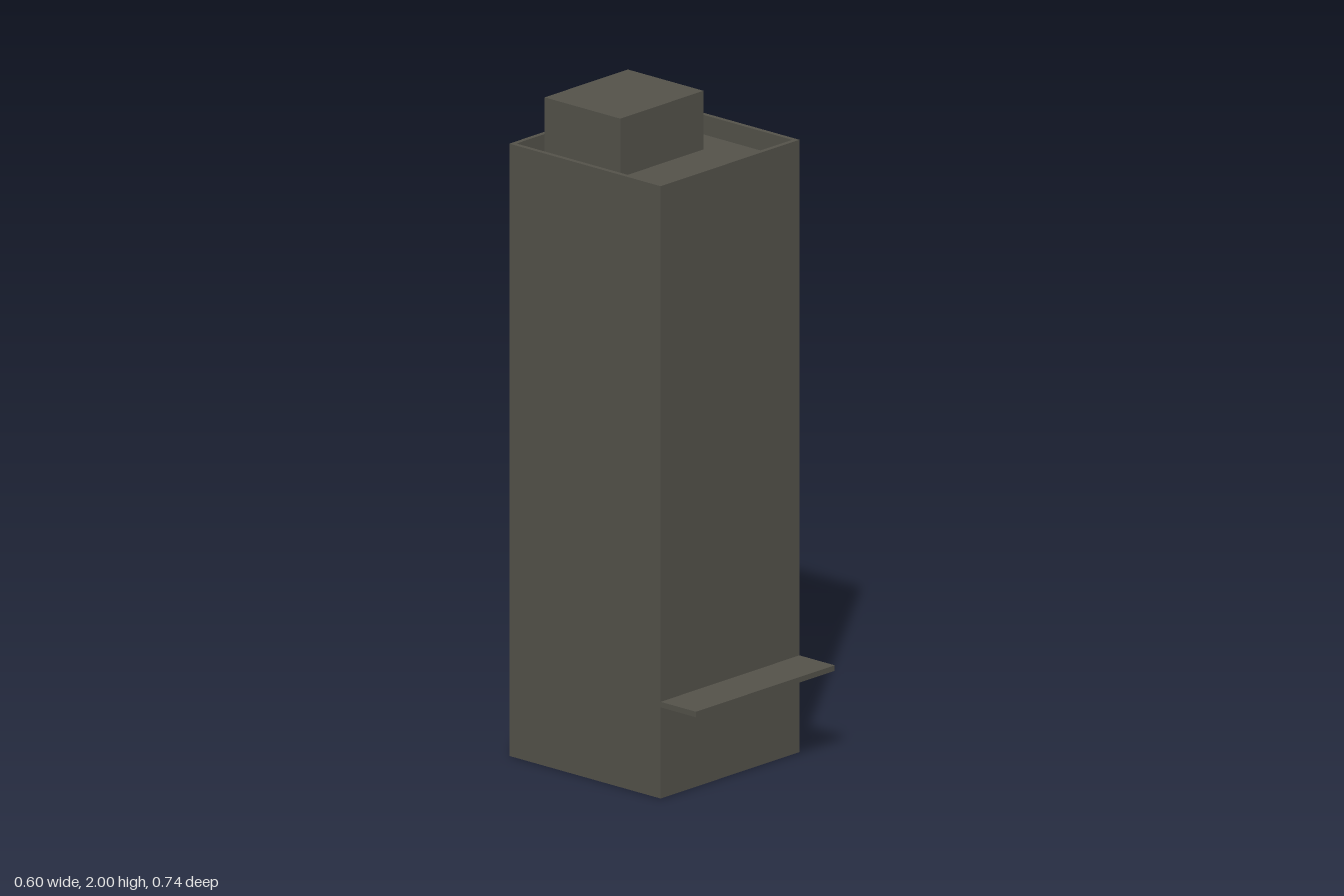
import * as THREE from 'three';

const HALF = 0.3, RIM = 0.015, WALL_TOP = 1.88, ROOF_Y = 1.82, BODY_Z = -0.07;

export function createModel() {
  const group = new THREE.Group();
  const material = new THREE.MeshStandardMaterial({
    color: 0x55534b, flatShading: true, side: THREE.DoubleSide,
  });

  const add = (name, geometry, x, y, z) => {
    const mesh = new THREE.Mesh(geometry, material);
    mesh.name = name;
    mesh.position.set(x, y, z);
    group.add(mesh);
    return mesh;
  };

  // Box given by its extents along y and z, centred on x = 0
  const addBlock = (name, width, y0, y1, z0, z1) =>
    add(name, new THREE.BoxGeometry(width, y1 - y0, z1 - z0), 0, (y0 + y1) / 2, (z0 + z1) / 2);

  // Tower walls, open at the bottom, turning over a thin parapet down to the roof
  const profile = [
    [HALF, 0], [HALF, WALL_TOP], [HALF - RIM, WALL_TOP], [HALF - RIM, ROOF_Y],
  ].map(([r, y]) => new THREE.Vector2(r * Math.SQRT2, y));
  const walls = new THREE.LatheGeometry(profile, 4, Math.PI / 4).toNonIndexed();
  walls.computeVertexNormals();
  add('towerWalls', walls, 0, 0, BODY_Z);

  // Flat roof sunk below the parapet
  const roofSize = 2 * (HALF - RIM);
  const roof = new THREE.PlaneGeometry(roofSize, roofSize).rotateX(-Math.PI / 2);
  add('roof', roof, 0, ROOF_Y, BODY_Z);

  // Rooftop machine room near the back
  addBlock('rooftopRoom', 0.36, ROOF_Y, 2, -0.34, -0.04);

  // Entrance canopy across the front
  addBlock('canopy', 2 * HALF, 0.28, 0.297, BODY_Z + HALF, 0.37);

  return group;
}
